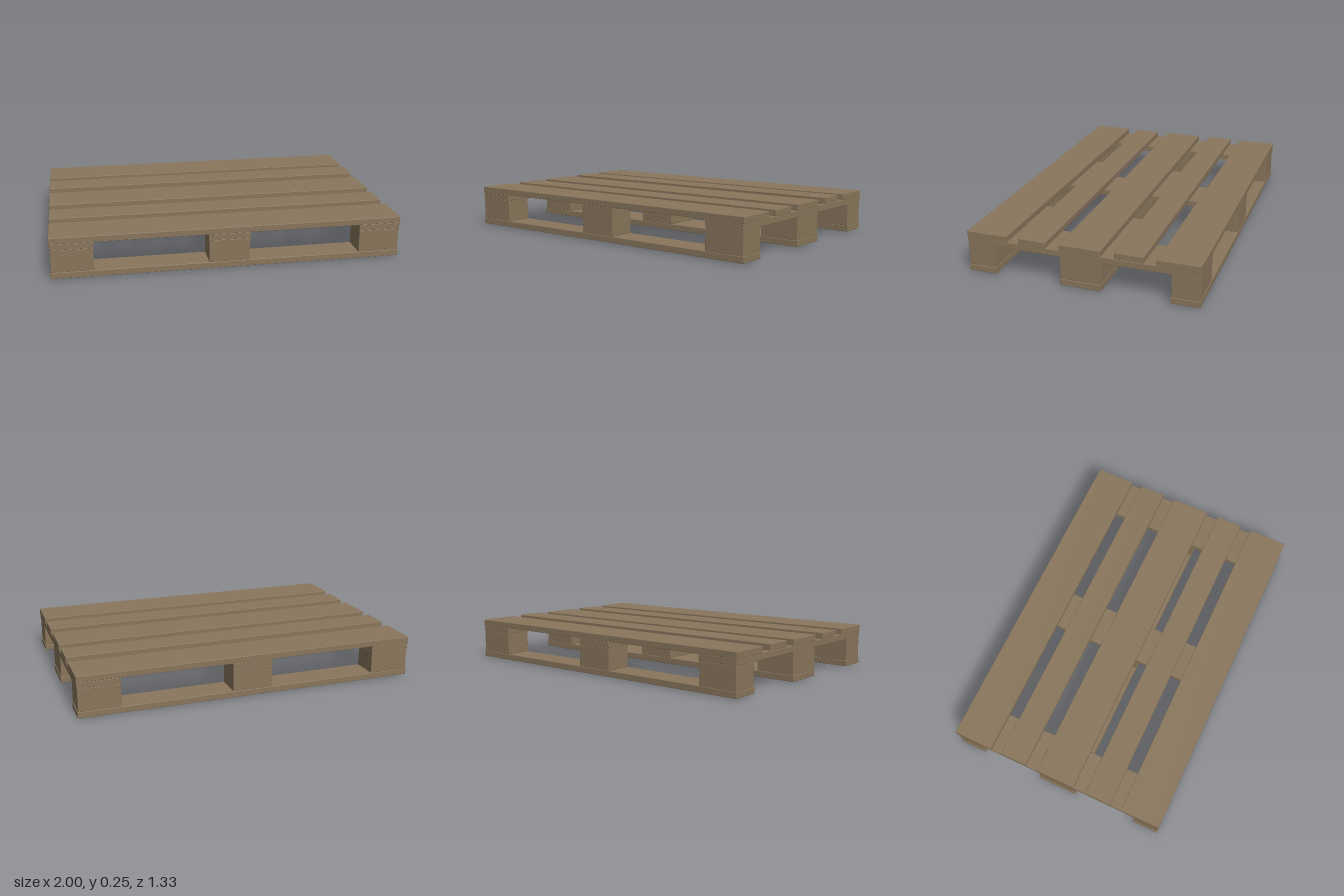
import * as THREE from 'three';
import { RoundedBoxGeometry } from 'three/addons/geometries/RoundedBoxGeometry.js';

const wood = new THREE.MeshStandardMaterial({ color: 0x89765c });
wood.name = 'weathered wood';

// A slightly worn box given by its limits on each axis
function plank(name, [x0, x1], [y0, y1], [z0, z1]) {
  const geometry = new RoundedBoxGeometry(x1 - x0, y1 - y0, z1 - z0, 1, 0.003);
  const mesh = new THREE.Mesh(geometry, wood);
  mesh.position.set((x0 + x1) / 2, (y0 + y1) / 2, (z0 + z1) / 2);
  mesh.name = name;
  return mesh;
}

// A small flat nail head
function nail(x, y, z, height) {
  const mesh = new THREE.Mesh(new THREE.CylinderGeometry(0.005, 0.005, height, 8), wood);
  mesh.position.set(x, y, z);
  mesh.name = 'nailHead';
  return mesh;
}

export function createModel() {
  const pallet = new THREE.Group();
  pallet.name = 'pallet';

  // Three columns across x and three rows across z
  const columns = [[-0.996, -0.757], [-0.12, 0.118], [0.756, 0.996]];
  const rows = [[-0.663, -0.502], [-0.118, 0.118], [0.502, 0.663]];

  // Deck boards: z limits and top height
  const deck = [
    [-0.664, -0.425, 0.244],
    [-0.357, -0.195, 0.247],
    [-0.118, 0.118, 0.244],
    [0.195, 0.356, 0.244],
    [0.425, 0.664, 0.244],
  ];
  for (const [z0, z1, top] of deck) {
    pallet.add(plank('deckBoard', [-0.998, 0.998], [top - 0.036, top], [z0, z1]));
    // Two nails where the board crosses each cross board
    for (const [x0, x1] of columns) {
      pallet.add(nail(x0 + 0.07, top, z0 + 0.045, 0.002));
      pallet.add(nail(x1 - 0.07, top, z1 - 0.045, 0.002));
    }
  }

  // Cross boards under the deck
  for (const x of columns) {
    pallet.add(plank('crossBoard', x, [0.172, 0.209], [-0.663, 0.663]));
  }

  // Bottom runners, with a block at each crossing
  for (const z of rows) {
    pallet.add(plank('bottomRunner', [-0.998, 0.998], [0.005, 0.041], z));
    for (const x of columns) {
      const inset = 0.002;
      pallet.add(plank('spacerBlock', [x[0] + inset, x[1] - inset], [0.041, 0.172], [z[0] + inset, z[1] - inset]));
      // Nail heads under the runner
      pallet.add(nail(x[0] + 0.07, 0.003, z[0] + 0.05, 0.006));
      pallet.add(nail(x[1] - 0.07, 0.003, z[1] - 0.05, 0.006));
    }
  }
  return pallet;
}
